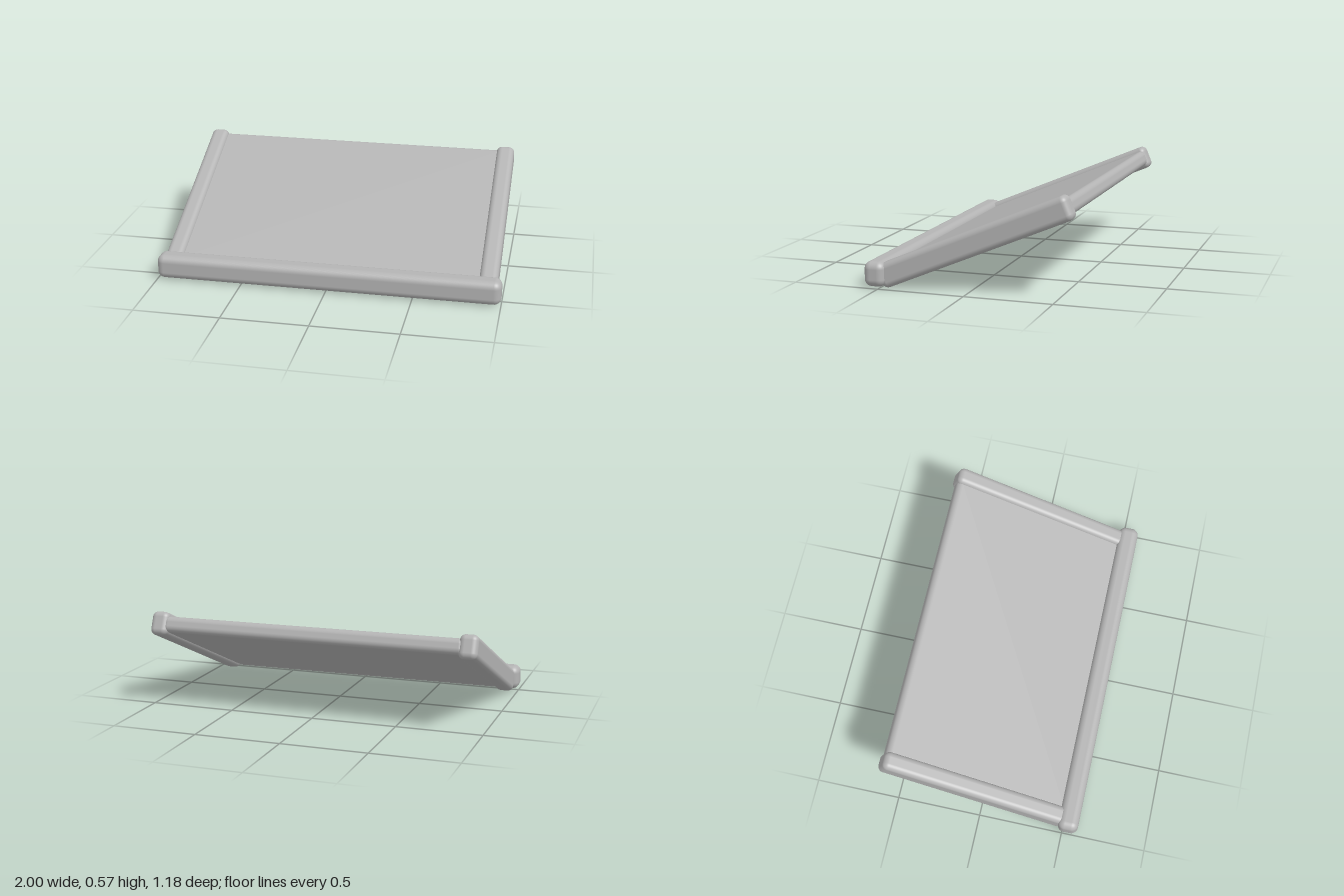
import * as THREE from 'three';
import { RoundedBoxGeometry } from 'three/addons/geometries/RoundedBoxGeometry.js';

const TILT = THREE.MathUtils.degToRad(23);

export function createModel() {
  const model = new THREE.Group();
  model.name = 'tiltedTray';
  const grey = new THREE.MeshStandardMaterial({ color: 0xb4b4b4 });
  grey.name = 'grey';

  // Soft-edged block given by its extents
  const block = (name, parent, [x0, x1], [y0, y1], [z0, z1], radius) => {
    const geometry = new RoundedBoxGeometry(x1 - x0, y1 - y0, z1 - z0, 6, radius);
    const mesh = new THREE.Mesh(geometry, grey);
    mesh.position.set((x0 + x1) / 2, (y0 + y1) / 2, (z0 + z1) / 2);
    mesh.name = name;
    parent.add(mesh);
  };

  // Level bar along the low front edge
  block('frontBar', model, [-1, 1], [0.006, 0.148], [0.468, 0.59], 0.042);

  // Sloping deck, rising towards the back
  const deck = new THREE.Group();
  deck.name = 'slopingDeck';
  deck.position.y = 0.27;
  deck.rotation.x = TILT;
  model.add(deck);

  block('panel', deck, [-0.9, 0.9], [-0.048, 0.046], [-0.617, 0.54], 0.035);

  // Side rails, slightly thicker than the panel
  block('leftRail', deck, [0.866, 0.973], [-0.07, 0.07], [-0.625, 0.551], 0.034);
  block('rightRail', deck, [-0.973, -0.866], [-0.07, 0.07], [-0.625, 0.551], 0.034);

  return model;
}
